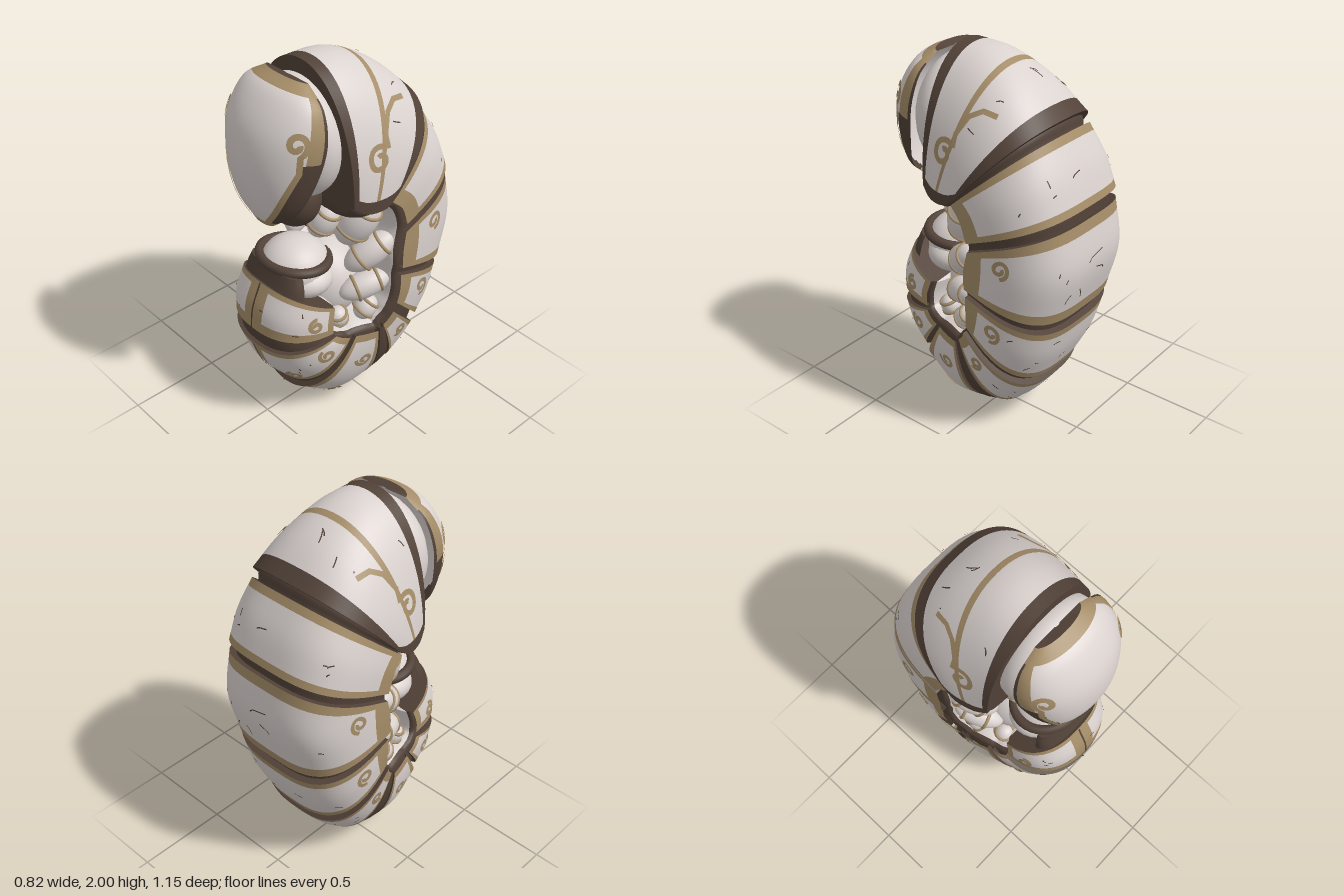
import * as THREE from 'three';
import { toCreasedNormals } from 'three/addons/utils/BufferGeometryUtils.js';

const mat = (name, color) => new THREE.MeshStandardMaterial({ name, color, side: THREE.DoubleSide });
const MATS = [mat('ivory shell', 0xdad2cf), mat('tan trim', 0xa58d68), mat('dark brown', 0x524238)];
const WHITE = 0, TAN = 1, DARK = 2;
const COLS = 40;

// Arched surface through stations [outer z, outer y, inner z, inner y, half width];
// power 1 gives an elliptical arch, less gives a squarer one
function arch(stations, powers) {
  const outer = new THREE.CatmullRomCurve3(stations.map(s => new THREE.Vector3(s[4], s[1], s[0])));
  const inner = new THREE.CatmullRomCurve3(stations.map((s, i) => new THREE.Vector3(powers[i], s[3], s[2])));
  return (u, v, k = 0) => {
    const o = outer.getPoint(u), i = inner.getPoint(u), a = v * Math.PI;
    const c = Math.cos(a), s = Math.sin(a);
    // v beyond 1 continues round the belly
    const d = (s >= 0 ? Math.pow(s, i.x) : 0.16 * s) * (1 - k);
    const x = o.x * Math.sign(c) * Math.pow(Math.abs(c), i.x) * (1 - k);
    return new THREE.Vector3(x, i.y + (o.y - i.y) * d, i.z + (o.z - i.z) * d);
  };
}

// Mesh from rows [u, k], with a colour chosen for every cell
function skin(name, surface, rows, colour, vMax = 1, cols = COLS) {
  const pos = [], faces = [[], [], []];
  rows.forEach(([u, k]) => {
    for (let c = 0; c <= cols; c++) pos.push(...surface(u, (c / cols) * vMax, k).toArray());
  });
  for (let r = 0; r < rows.length - 1; r++) {
    const capped = rows[r][0] === rows[r + 1][0];
    for (let c = 0; c < cols; c++) {
      const a = r * (cols + 1) + c, b = a + cols + 1;
      const m = colour((rows[r][0] + rows[r + 1][0]) / 2, c, capped);
      faces[m].push(a, b, a + 1, b, b + 1, a + 1);
    }
  }
  const geo = new THREE.BufferGeometry();
  geo.setAttribute('position', new THREE.Float32BufferAttribute(pos, 3));
  geo.setIndex(faces.flat());
  let start = 0;
  faces.forEach((f, m) => { if (f.length) geo.addGroup(start, f.length, m); start += f.length; });
  const mesh = new THREE.Mesh(toCreasedNormals(geo, 0.7), MATS);
  mesh.name = name;
  return mesh;
}

// Rows that include every band edge, with the ends turned down
function bandRows(bands, drop, steps = 12) {
  const us = new Set([0, 1, ...bands.map(b => b[0])]);
  for (let i = 1; i < steps; i++) us.add(i / steps);
  const rows = [...us].sort((a, b) => a - b).map(u => [u, 0]);
  return [[0, drop], ...rows, [1, drop]];
}

function plate(name, surface, bands, { edge = TAN, mid = 0 } = {}) {
  const colour = (u, c, capped) => {
    if (capped) return DARK;
    const band = bands.find(b => u < b[0])[1];
    if (band === DARK) return DARK;
    if (c < 1 || c >= COLS - 1) return edge;
    if (Math.abs(c - (COLS - 1) / 2) < mid) return TAN;
    return band;
  };
  return skin(name, surface, bandRows(bands, 0.1), colour);
}

// Thin painted strip that follows a surface along [u, v] points
function ribbon(name, surface, path, width, colour = TAN) {
  const pos = [], index = [], e = 0.004;
  const P = path.map(([u, v]) => surface(u, v));
  path.forEach(([u, v], i) => {
    const du = surface(Math.min(1, u + e), v).sub(surface(Math.max(0, u - e), v));
    const dv = surface(u, v + e).sub(surface(u, v - e));
    const n = du.cross(dv).normalize();
    const t = P[Math.min(i + 1, P.length - 1)].clone().sub(P[Math.max(i - 1, 0)]);
    const side = n.clone().cross(t).setLength(width / 2);
    const p = P[i].clone().addScaledVector(n, 0.006);
    pos.push(...p.clone().add(side).toArray(), ...p.sub(side).toArray());
    if (i) index.push(2 * i - 2, 2 * i - 1, 2 * i, 2 * i - 1, 2 * i + 1, 2 * i);
  });
  const geo = new THREE.BufferGeometry();
  geo.setAttribute('position', new THREE.Float32BufferAttribute(pos, 3));
  geo.setIndex(index);
  geo.computeVertexNormals();
  const mesh = new THREE.Mesh(geo, MATS[colour]);
  mesh.name = name;
  return mesh;
}

// The same strip on both sides of the body
const ribbonPair = (name, surface, path, width) => [path, path.map(([u, v]) => [u, 1 - v])]
  .map(p => ribbon(name, surface, p, width));

// Spiral of [u, v] points, kept round on the surface
function curl(surface, u0, v0, radius, phase, turns = 1.3) {
  const e = 0.02, p = surface(u0, v0);
  const lu = surface(u0 + e, v0).distanceTo(p) / e, lv = surface(u0, v0 + e).distanceTo(p) / e;
  return Array.from({ length: 26 }, (_, i) => {
    const t = i / 25, a = phase + t * turns * 2 * Math.PI, r = radius * (1 - 0.75 * t);
    return [THREE.MathUtils.clamp(u0 + r * Math.cos(a) / lu, 0.01, 0.99),
      Math.max(0.01, v0 + r * Math.sin(a) / lv)];
  });
}

function ball(name, m, p, r) {
  const mesh = new THREE.Mesh(new THREE.SphereGeometry(1, 28, 18), MATS[m]);
  mesh.position.set(...p);
  mesh.scale.set(...r);
  mesh.name = name;
  return mesh;
}

// Plump leg segment between two points with tan cuffs
function leg(name, a, b, r) {
  const g = new THREE.Group(), A = new THREE.Vector3(...a), B = new THREE.Vector3(...b);
  const len = A.distanceTo(B), half = len / 2 + r * 0.4;
  g.add(ball('legSegment', WHITE, [0, 0, 0], [r, half, r]));
  for (const f of [-0.55, 0.35]) {
    const cuff = new THREE.Mesh(new THREE.TorusGeometry(r * Math.sqrt(1 - f * f), 0.009, 8, 24), MATS[TAN]);
    cuff.rotation.x = Math.PI / 2;
    cuff.position.y = half * f;
    cuff.name = 'legCuff';
    g.add(cuff);
  }
  g.position.copy(A).lerp(B, 0.5);
  g.quaternion.setFromUnitVectors(new THREE.Vector3(0, 1, 0), B.sub(A).normalize());
  g.name = name;
  return g;
}

export function createModel() {
  const model = new THREE.Group();
  model.name = 'curledLarva';

  // Shell plates from the collar round to the tail
  const trim = [[0.12, TAN], [0.89, WHITE], [1, TAN]];
  const collar = [[.22, 2, .21, 1.35, .36], [.02, 1.985, .15, 1.31, .385], [-.19, 1.88, .05, 1.31, .41], [-.36, 1.72, -.03, 1.36, .41]];
  const plates = [
    [[-.38, 1.66, 0, 1.32, .4], [-.47, 1.5, -.06, 1.26, .41], [-.53, 1.33, -.1, 1.15, .41]],
    [[-.535, 1.27, -.1, 1.1, .405], [-.57, 1.03, -.08, .99, .41], [-.51, .76, -.08, .89, .41]],
    [[-.5, .69, -.08, .84, .4], [-.45, .52, -.08, .75, .4], [-.37, .35, -.07, .66, .39]],
    [[-.35, .29, -.05, .61, .385], [-.26, .17, -.03, .57, .375], [-.17, .08, 0, .54, .365]],
    [[0, .03, .03, .51, .36], [.17, .005, .09, .52, .35], [.38, .15, .16, .53, .33]],
    [[.4, .22, .19, .53, .32], [.5, .35, .23, .55, .315], [.565, .52, .27, .575, .3]],
    [[.57, .62, .28, .595, .29], [.555, .74, .28, .66, .29], [.5, .87, .26, .74, .28]],
  ];
  const fold = [[-.14, .075, 0, .54, .365], [-.08, .05, .01, .53, .365], [-.03, .04, .02, .52, .36]];
  const collarPower = [.95, .95, .88, .78], foldPower = [.88, .9, .9];
  const platePowers = [[.74, .68, .63], [.62, .6, .62], [.64, .68, .74], [.76, .82, .87],
    [.92, .95, .92], [.9, .87, .83], [.82, .8, .8]];
  const collarSurface = arch(collar, collarPower);
  const surfaces = plates.map((st, i) => arch(st, platePowers[i]));
  const collarBands = [[0.11, DARK], [0.45, WHITE], [0.5, TAN], [0.88, WHITE], [1, DARK]];
  model.add(plate('collarShell', collarSurface, collarBands, { edge: DARK }));
  model.add(plate('darkFold', arch(fold, foldPower), [[1, DARK]]));
  // Curl positions [u, v, radius] for each plate
  const curls = [[], [[.3, .085, .05]], [[.36, .085, .05]], [[.4, .085, .04]],
    [[.45, .1, .045], [.6, .3, .04]], [[.55, .1, .045], [.35, .33, .045]], [[.5, .1, .04]]];
  surfaces.forEach((surface, i) => {
    const bands = i === 6 ? [[0.24, TAN], [0.9, WHITE], [1, TAN]] : trim;
    model.add(plate('shellPlate' + (i + 1), surface, bands, { mid: i === 6 ? 2 : i > 3 ? 1 : 0 }));
    for (const [u, v, r] of curls[i]) model.add(...ribbonPair('plateCurl', surface, curl(surface, u, v, r, 0), 0.022));
    if (i > 3) {
      const seam = Array.from({ length: 13 }, (_, j) => [j / 12, 0.5]);
      model.add(ribbon('centreSeam', surface, seam, 0.01, DARK));
    }
  });

  // Scroll running down each side of the collar
  const scroll = [[0.72, 0.3], [0.6, 0.28], [0.52, 0.24], [0.48, 0.18],
    ...curl(collarSurface, 0.42, 0.12, 0.07, 0.9, 1.2)];
  model.add(...ribbonPair('collarScroll', collarSurface, scroll, 0.028));

  // Fine cracks scattered over the shell
  let seed = 7;
  const rand = () => (seed = (seed * 16807) % 2147483647) / 2147483647;
  for (const surface of [collarSurface, ...surfaces]) {
    for (let i = 0; i < 7; i++) {
      const u = 0.18 + rand() * 0.55, v = 0.18 + rand() * 0.62, du = rand() * 0.12, dv = rand() * 0.06 - 0.03;
      model.add(ribbon('crack', surface, [[u, v], [u + du * 0.5, v + dv], [u + du, v + dv * 1.4]], 0.006, DARK));
    }
  }

  // Soft body: dark between the plates, pale on the belly
  const all = [...collar, ...plates.slice(0, 4).flat(), ...fold, ...plates.slice(4).flat()];
  const allPowers = [...collarPower, ...platePowers.slice(0, 4).flat(), ...foldPower, ...platePowers.slice(4).flat()];
  const rows = Array.from({ length: 91 }, (_, i) => [i / 90, 0.07]);
  model.add(skin('softBody', arch(all, allPowers), [[0, 1], ...rows, [1, 1]],
    (u, c) => (c < 27 || c > 44 || u < 0.1 ? DARK : WHITE), 2, 48));
  model.add(ball('innerBelly', WHITE, [0, .72, .1], [.22, .23, .19]));

  // Head: domed face mask over a pale skull
  const face = [[.48, 1.225, .45, 1.24, .08], [.54, 1.36, .42, 1.34, .2], [.572, 1.56, .36, 1.53, .275],
    [.54, 1.76, .32, 1.72, .3], [.44, 1.91, .3, 1.87, .25], [.34, 1.965, .29, 1.95, .14]];
  const faceSurface = arch(face, face.map(() => 0.95));
  model.add(skin('faceMask', faceSurface, bandRows([[0.05], [0.88]], 0.9, 24), (u, c, capped) => {
    const e = Math.min(c, COLS - 1 - c);
    if (capped) return DARK;
    if (u < 0.05 || u > 0.88) return TAN;
    if (u < 0.5) return e + 0.5 < 13.6 - 16 * u ? DARK : WHITE;
    return e < 1 ? DARK : e < 5 ? TAN : WHITE;
  }));
  const faceScroll = [0.04, 0.1, 0.16, 0.22, 0.28, 0.34, 0.4, 0.46].map(u => [u, 0.34 - 0.4 * u]);
  faceScroll.push(...curl(faceSurface, 0.6, 0.2, 0.055, 3.6, 1.2));
  model.add(...ribbonPair('faceScroll', faceSurface, faceScroll, 0.03));
  model.add(ball('skull', WHITE, [0, 1.62, .26], [.285, .31, .18]));
  model.add(ball('chin', DARK, [0, 1.31, .29], [.17, .17, .13]));
  model.add(ball('throat', DARK, [0, 1.18, .14], [.13, .14, .1]));

  // Tail tip wrapped by its dark collar
  model.add(ball('tailTip', WHITE, [0, .88, .28], [.18, .155, .18]));
  model.add(ball('tailLump', WHITE, [0, .83, .27], [.21, .11, .17]));
  const guard = [[.49, .85, .4, .8, .21], [.47, .9, .39, .87, .2], [.455, .945, .38, .93, .18]];
  model.add(plate('tailGuard', arch(guard, [.8, .8, .8]), [[1, DARK]]));
  const ring = new THREE.Mesh(new THREE.TorusGeometry(.17, .024, 10, 40), MATS[DARK]);
  ring.rotation.x = Math.PI / 2 - 0.12;
  ring.scale.set(1.08, .98, 1.1);
  ring.position.set(0, .935, .285);
  ring.name = 'tailCollar';
  model.add(ring);

  // Folded legs, in mirrored pairs
  const legs = [
    [[.27, 1.26, .02], [.17, 1.05, .09], .098],
    [[.15, 1.24, .17], [.09, 1.1, .21], .075],
    [[.32, 1.04, -.06], [.22, .9, .1], .078],
    [[.31, .8, -.05], [.22, .74, .14], .07],
    [[.27, .65, .0], [.25, .58, .06], .06],
    [[.22, .64, .19], [.2, .57, .17], .055],
  ];
  for (const s of [1, -1]) {
    for (const [a, b, r] of legs) {
      model.add(leg(s > 0 ? 'leftLeg' : 'rightLeg', [a[0] * s, a[1], a[2]], [b[0] * s, b[1], b[2]], r));
    }
  }
  return model;
}
